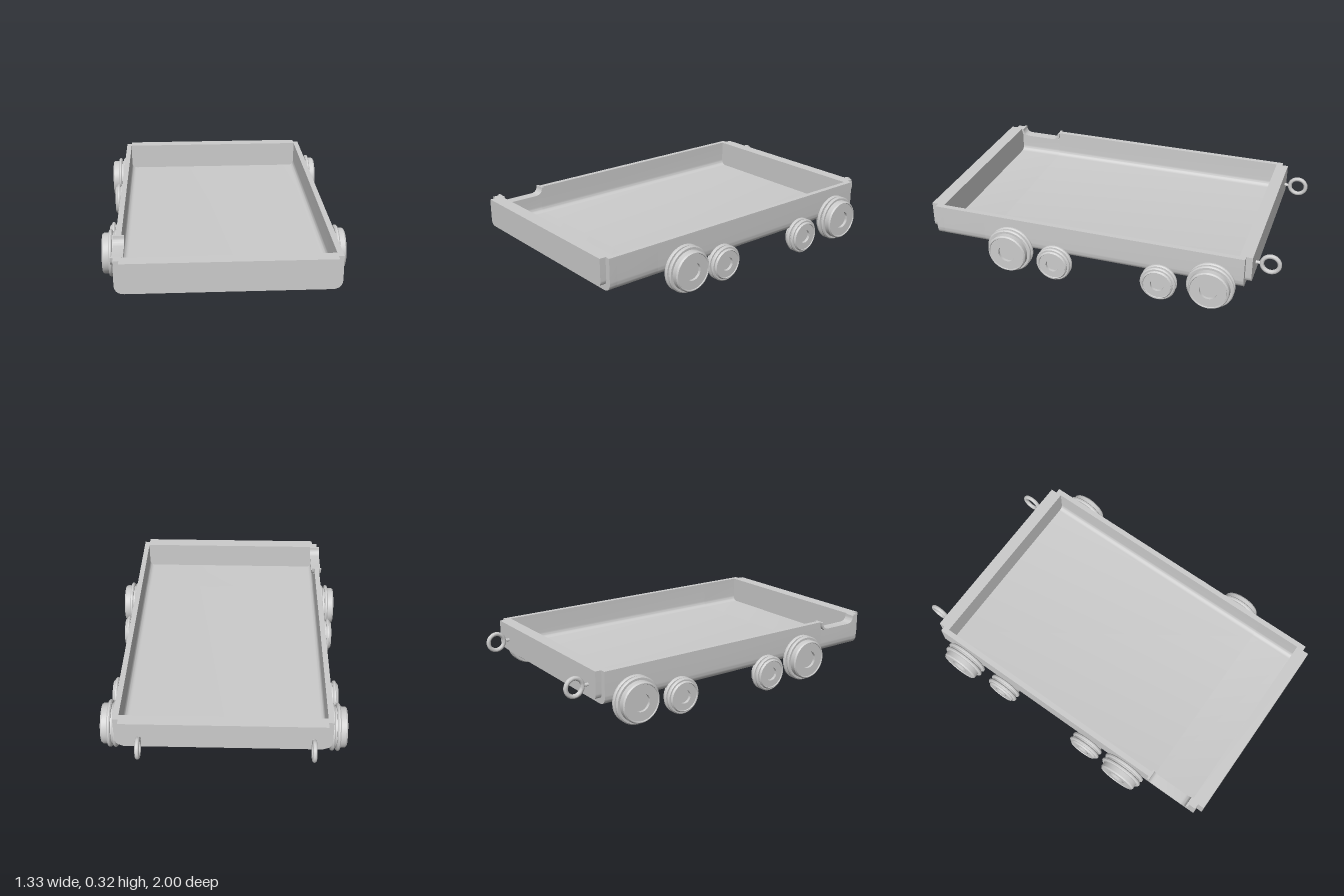
import * as THREE from 'three';
import { toCreasedNormals } from 'three/addons/utils/BufferGeometryUtils.js';

const TOP = 0.32;

export function createModel() {
  const model = new THREE.Group();
  const mat = new THREE.MeshStandardMaterial({ color: 0xcccccc, side: THREE.DoubleSide });
  const add = (name, geo, parent = model) => {
    const mesh = new THREE.Mesh(toCreasedNormals(geo, 0.6), mat);
    mesh.name = name;
    parent.add(mesh);
    return mesh;
  };
  const extrude = (shape, depth) =>
    new THREE.ExtrudeGeometry(shape, { depth, bevelEnabled: false, curveSegments: 10 });

  // U-shaped cross-section of the tray, open at the top
  function trough(shape, w, bottom, r, leftTop = TOP) {
    shape.moveTo(-w, leftTop);
    shape.lineTo(-w, bottom + r);
    shape.quadraticCurveTo(-w, bottom, -w + r, bottom);
    shape.lineTo(w - r, bottom);
    shape.quadraticCurveTo(w, bottom, w, bottom + r);
    shape.lineTo(w, TOP);
    return shape;
  }
  function traySection(rightWallTop) {
    const s = trough(new THREE.Shape(), 0.578, 0.135, 0.055, rightWallTop);
    const inner = trough(new THREE.Path(), 0.548, 0.165, 0.035, rightWallTop).getPoints(10);
    inner.reverse().forEach(p => s.lineTo(p.x, p.y));
    s.closePath();
    return s;
  }

  const tray = new THREE.Group();
  tray.name = 'tray';
  tray.position.x = -0.0025;
  model.add(tray);

  // Side walls and floor, with one wall lowered at the spout
  for (const [z0, z1, h] of [[-0.825, 0.665, TOP], [0.665, 0.92, 0.272], [0.92, 0.965, TOP]]) {
    add('trayBody', extrude(traySection(h), z1 - z0), tray).position.z = z0;
  }

  // End panels set into the tray and standing proud of it
  const panel = trough(new THREE.Shape(), 0.548, 0.165, 0.035);
  panel.closePath();
  add('frontPanel', extrude(panel, 0.075), tray).position.z = 0.925;
  add('backPanel', extrude(panel, 0.07), tray).position.z = -0.86;

  // Curved pouring spout in the notch, drawn in z and y
  const spout = new THREE.Shape();
  spout.moveTo(0.655, TOP);
  spout.quadraticCurveTo(0.655, 0.265, 0.71, 0.265);
  spout.lineTo(0.87, 0.265);
  spout.quadraticCurveTo(0.925, 0.265, 0.925, TOP);
  spout.lineTo(0.913, TOP);
  spout.quadraticCurveTo(0.913, 0.277, 0.87, 0.277);
  spout.lineTo(0.71, 0.277);
  spout.quadraticCurveTo(0.667, 0.277, 0.667, TOP);
  spout.closePath();
  add('spout', extrude(spout, 0.06).rotateY(-Math.PI / 2)).position.x = -0.536;

  // Double-flanged wheel with a recessed hub; x is measured from its inner face
  function wheelGeometry(R, width) {
    const body = R * 0.86, face = R * 0.78, hub = R * 0.38;
    const pts = [[0, 0.015], [hub, 0.015], [hub, 0], [body - 0.008, 0], [body, 0.008]];
    for (const x of [0.034, 0.064]) {
      pts.push([body, x - 0.01], [R - 0.006, x - 0.01], [R, x - 0.004],
        [R, x + 0.004], [R - 0.006, x + 0.01], [body, x + 0.01]);
    }
    pts.push([body, width - 0.008], [body - 0.006, width], [face, width],
      [face - 0.002, width - 0.004], [hub, width - 0.004], [hub, width - 0.02], [0, width - 0.02]);
    return new THREE.LatheGeometry(pts.map(p => new THREE.Vector2(...p)), 40).rotateZ(-Math.PI / 2);
  }
  const wheels = [
    ['largeWheel', 0.13, 0.11, 0.142, [0.497, -0.657]],
    ['smallWheel', 0.1, 0.085, 0.102, [0.235, -0.37]],
  ];
  for (const [name, R, width, y, zs] of wheels) {
    const geo = wheelGeometry(R, width);
    for (const z of zs) for (const side of [-1, 1]) {
      const wheel = add(name, geo);
      wheel.position.set(-0.0025 + side * 0.553, y, z);
      if (side < 0) wheel.rotation.y = Math.PI;
    }
  }

  // Two hitch rings on short shanks at the back
  for (const x of [-0.475, 0.435]) {
    const hitch = new THREE.Group();
    hitch.name = 'hitch';
    hitch.position.set(x, 0.23, 0);
    add('hitchRing', new THREE.TorusGeometry(0.048, 0.012, 12, 36).rotateY(Math.PI / 2), hitch)
      .position.z = -0.94;
    add('hitchShank', new THREE.CylinderGeometry(0.009, 0.009, 0.045, 12).rotateX(Math.PI / 2), hitch)
      .position.z = -0.872;
    model.add(hitch);
  }
  return model;
}
